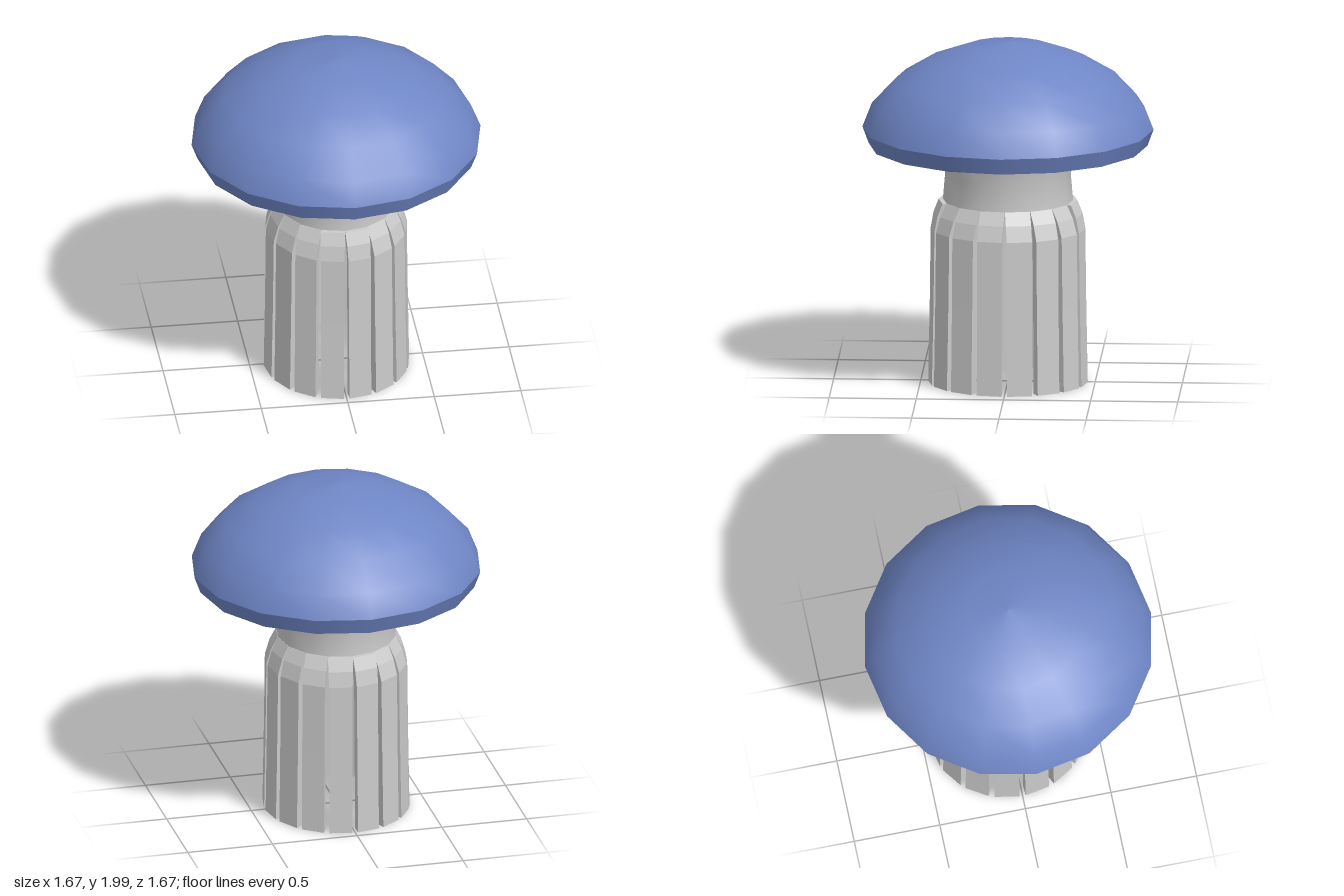
import * as THREE from 'three';

const SIDES = 16;
const SQUASH = 0.92; // the stalk is slightly narrower in x than in z

const points = (list) => list.map(([r, y]) => new THREE.Vector2(r, y));

function lathe(name, profile, material) {
  const mesh = new THREE.Mesh(new THREE.LatheGeometry(points(profile), SIDES), material);
  mesh.name = name;
  return mesh;
}

// Rows of a strip from bottom to top: [y, inner radius, outer radius, half gap angle]
const ROWS = [
  [0.01, 0.395, 0.457, 0.038],
  [0.5, 0.39, 0.448, 0.034],
  [0.91, 0.385, 0.443, 0.03],
  [1.0, 0.365, 0.415, 0.018],
  [1.075, 0.345, 0.374, 0.002],
];

// A box bent to follow the rows; raised strips keep a visible ledge on top
function stripGeometry(angle, raised) {
  const geometry = new THREE.BoxGeometry(1, 1, 1, 1, ROWS.length - 1, 1);
  const p = geometry.attributes.position;
  for (let i = 0; i < p.count; i++) {
    const row = Math.round((p.getY(i) + 0.5) * (ROWS.length - 1));
    const [y, inner, outer, gap] = ROWS[row];
    const lift = raised && row >= 3 ? 0.012 * (row - 2) : 0;
    const r = p.getZ(i) > 0 ? outer + lift : inner;
    const a = angle + Math.sign(p.getX(i)) * (Math.PI / SIDES - gap);
    p.setXYZ(i, r * Math.sin(a) * SQUASH, y, r * Math.cos(a));
  }
  geometry.computeVertexNormals();
  return geometry;
}

export function createModel() {
  const model = new THREE.Group();
  const blue = new THREE.MeshStandardMaterial({ color: 0x6f86c6, side: THREE.DoubleSide });
  const grey = new THREE.MeshStandardMaterial({ color: 0xcccccc, side: THREE.DoubleSide });
  const flatGrey = new THREE.MeshStandardMaterial({ color: 0xcccccc, flatShading: true });

  // Cap: dome, tapered rim band and hollow underside (profiles run bottom to top outside)
  const cap = new THREE.Group();
  cap.name = 'cap';
  cap.add(lathe('capDome', [
    [0.835, 1.495], [0.78, 1.635], [0.645, 1.78], [0.455, 1.895], [0.235, 1.975], [0, 2],
  ], blue));
  cap.add(lathe('capRim', [[0.8, 1.4], [0.835, 1.495]], blue));
  cap.add(lathe('capUnderside', [[0, 1.5], [0.42, 1.495], [0.62, 1.47], [0.8, 1.4]], blue));
  model.add(cap);

  // Flared neck reaching up into the cap
  const neck = lathe('neck', [
    [0.368, 1.04], [0.373, 1.08], [0.36, 1.235], [0.413, 1.4], [0.445, 1.5],
  ], grey);
  neck.scale.x = SQUASH;
  model.add(neck);

  // Ring of hanging strips; the front and back pairs stand proud of the neck
  const strips = new THREE.Group();
  strips.name = 'stalkStrips';
  for (let i = 0; i < SIDES; i++) {
    const angle = ((i + 0.5) / SIDES) * Math.PI * 2;
    const strip = new THREE.Mesh(stripGeometry(angle, Math.abs(Math.cos(angle)) > 0.95), flatGrey);
    strip.name = 'stalkStrip';
    strips.add(strip);
  }
  model.add(strips);

  return model;
}
